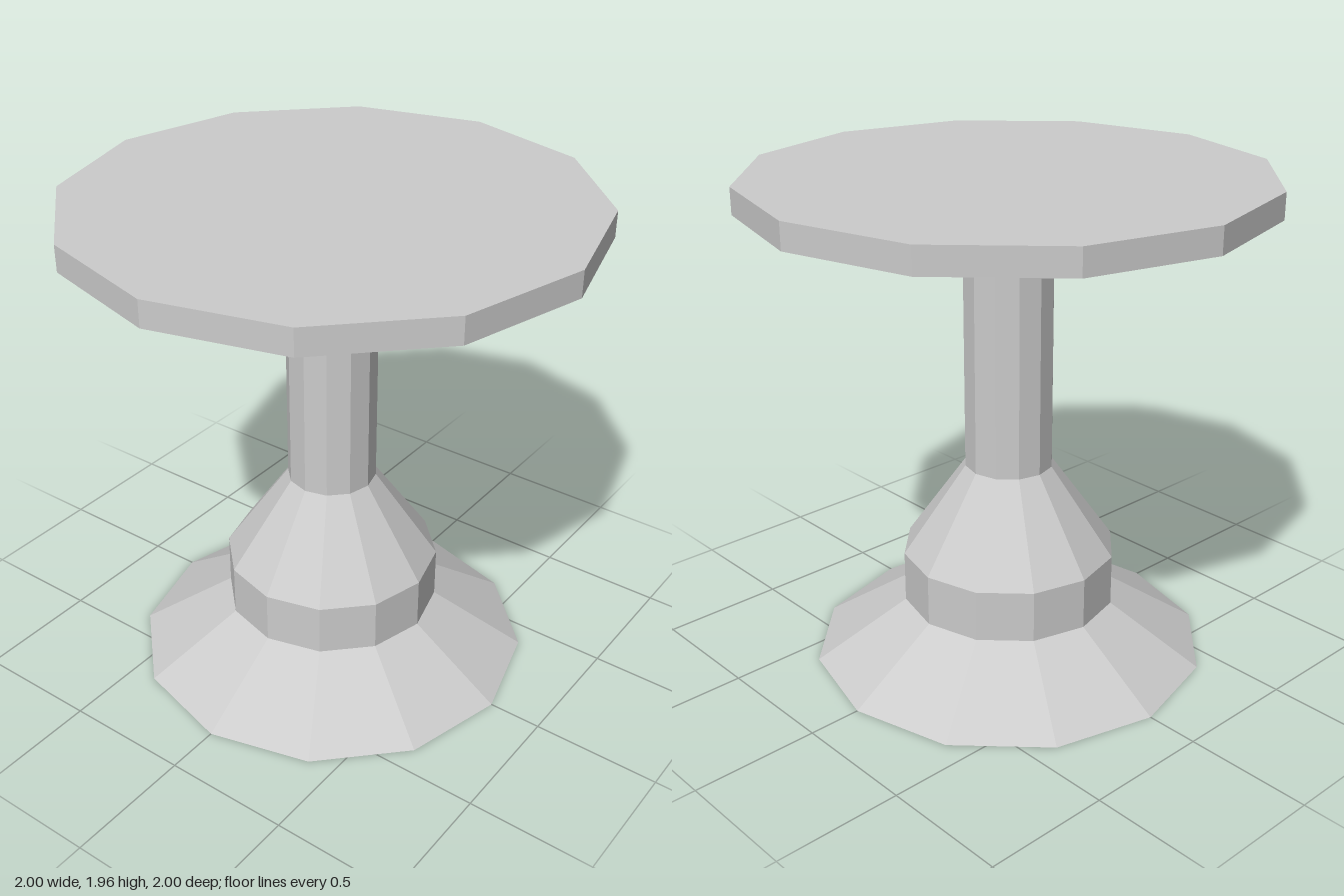
import * as THREE from 'three';

const SIDES = 12;

export function createModel() {
  const table = new THREE.Group();
  table.name = 'pedestalTable';
  const material = new THREE.MeshStandardMaterial({ color: 0xcccccc, flatShading: true });

  // Each part is a twelve-sided solid turned from a [radius, height] profile, bottom to top
  const turned = (name, profile) => {
    const points = profile.map(([r, y]) => new THREE.Vector2(r, y));
    const mesh = new THREE.Mesh(new THREE.LatheGeometry(points, SIDES), material);
    mesh.name = name;
    table.add(mesh);
  };

  // Flared foot with a closed underside
  turned('foot', [[0, 0], [0.79, 0], [0.427, 0.235]]);

  // Collar band and the cone tapering up to the column
  turned('collar', [[0.427, 0.235], [0.427, 0.442], [0.175, 0.803]]);

  // Straight column
  turned('column', [[0.175, 0.803], [0.175, 1.69]]);

  // Top with a sloping underside, upright rim and flat surface
  turned('tableTop', [[0.175, 1.69], [1, 1.855], [1, 1.956], [0, 1.956]]);

  return table;
}
